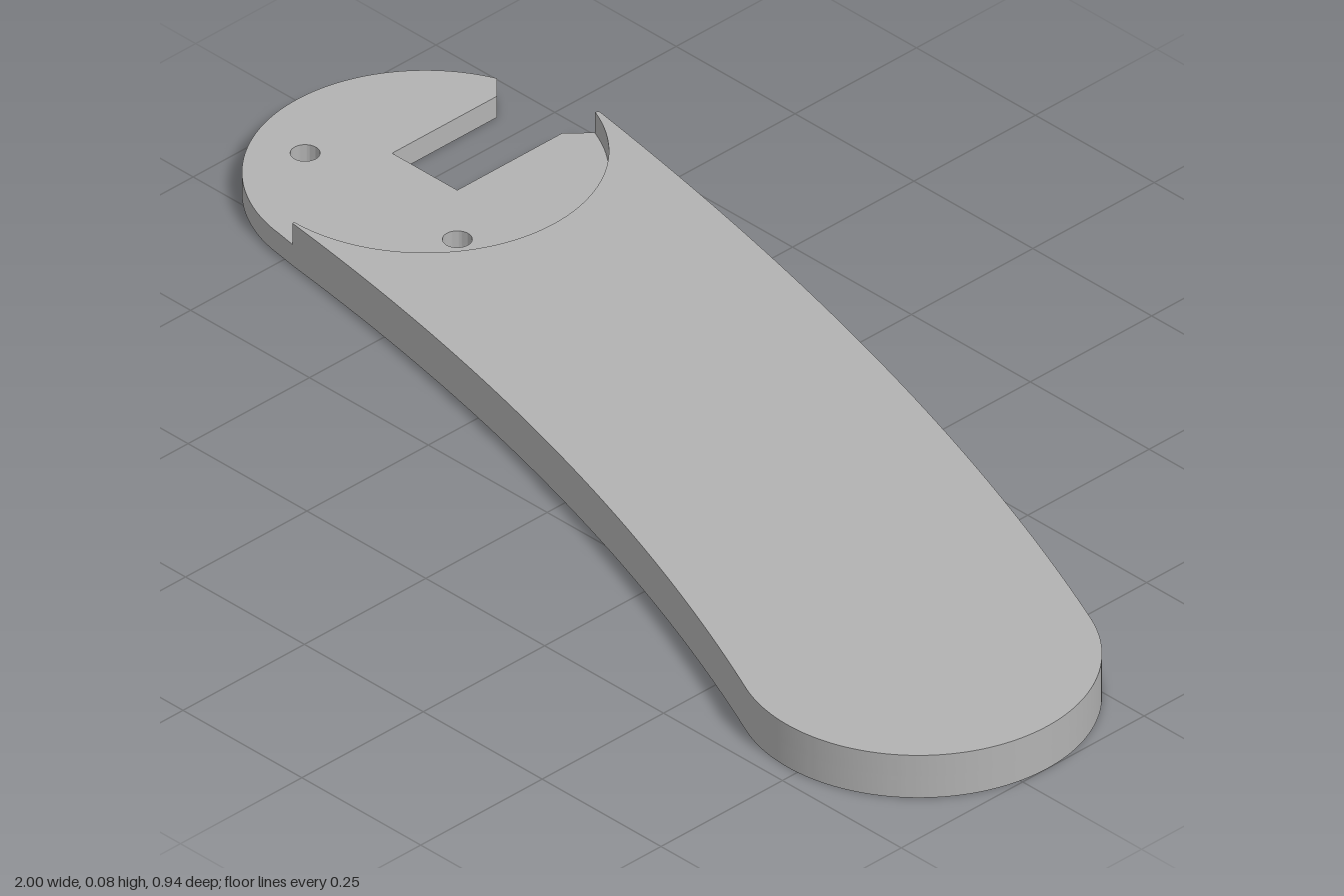
import * as THREE from 'three';
import { toCreasedNormals } from 'three/addons/utils/BufferGeometryUtils.js';

const rad = THREE.MathUtils.degToRad;
const HUB = { x: -0.73, z: -0.214, r: 0.27 };
const TIP = { x: 0.73, z: 0.2, r: 0.27 };
const STEP = 0.0375;
const TOP = 0.075;

// Shapes are drawn in plan: shape x = x, shape y = z.
// Curved body edges and the rounded far end, shared by both layers.
function drawBody(shape) {
  shape.moveTo(-0.626, -0.47);
  shape.quadraticCurveTo(0.2, -0.334, 0.844, -0.045);
  shape.absarc(TIP.x, TIP.z, TIP.r, rad(-65), rad(115), false);
  shape.quadraticCurveTo(0, 0.157, -0.73, 0.06);
}

// Extrude a plan shape between two heights.
function slab(name, shape, y0, y1, material) {
  const geo = new THREE.ExtrudeGeometry(shape, { depth: y1 - y0, bevelEnabled: false, curveSegments: 48 });
  geo.rotateX(Math.PI / 2);
  geo.translate(0, y1, 0);
  const mesh = new THREE.Mesh(toCreasedNormals(geo, 0.4), material);
  mesh.name = name;
  return mesh;
}

export function createModel() {
  const group = new THREE.Group();
  group.name = 'curvedHandlePlate';
  const grey = new THREE.MeshStandardMaterial({ color: 0xb2b2b2 });
  grey.name = 'plain grey';

  // Lower layer: body plus round hub with a chamfered slot
  const base = new THREE.Shape();
  drawBody(base);
  base.absarc(HUB.x, HUB.z, HUB.r, rad(97.5), rad(247.3), false);
  base.lineTo(-0.8, -0.43);
  base.lineTo(-0.8, -0.214);
  base.lineTo(-0.663, -0.214);
  base.lineTo(-0.663, -0.43);
  base.closePath();

  // Screw holes either side of the hub
  for (const side of [-1, 1]) {
    const hole = new THREE.Path();
    hole.absarc(HUB.x + side * 0.16, -0.123, 0.022, 0, Math.PI * 2, true);
    base.holes.push(hole);
  }
  group.add(slab('basePlate', base, 0, STEP, grey));

  // Upper layer: body cut back around the hub
  const upper = new THREE.Shape();
  drawBody(upper);
  upper.absarc(HUB.x, HUB.z, HUB.r, rad(90), rad(-68), true);
  upper.closePath();
  group.add(slab('upperPlate', upper, STEP, TOP, grey));

  return group;
}
